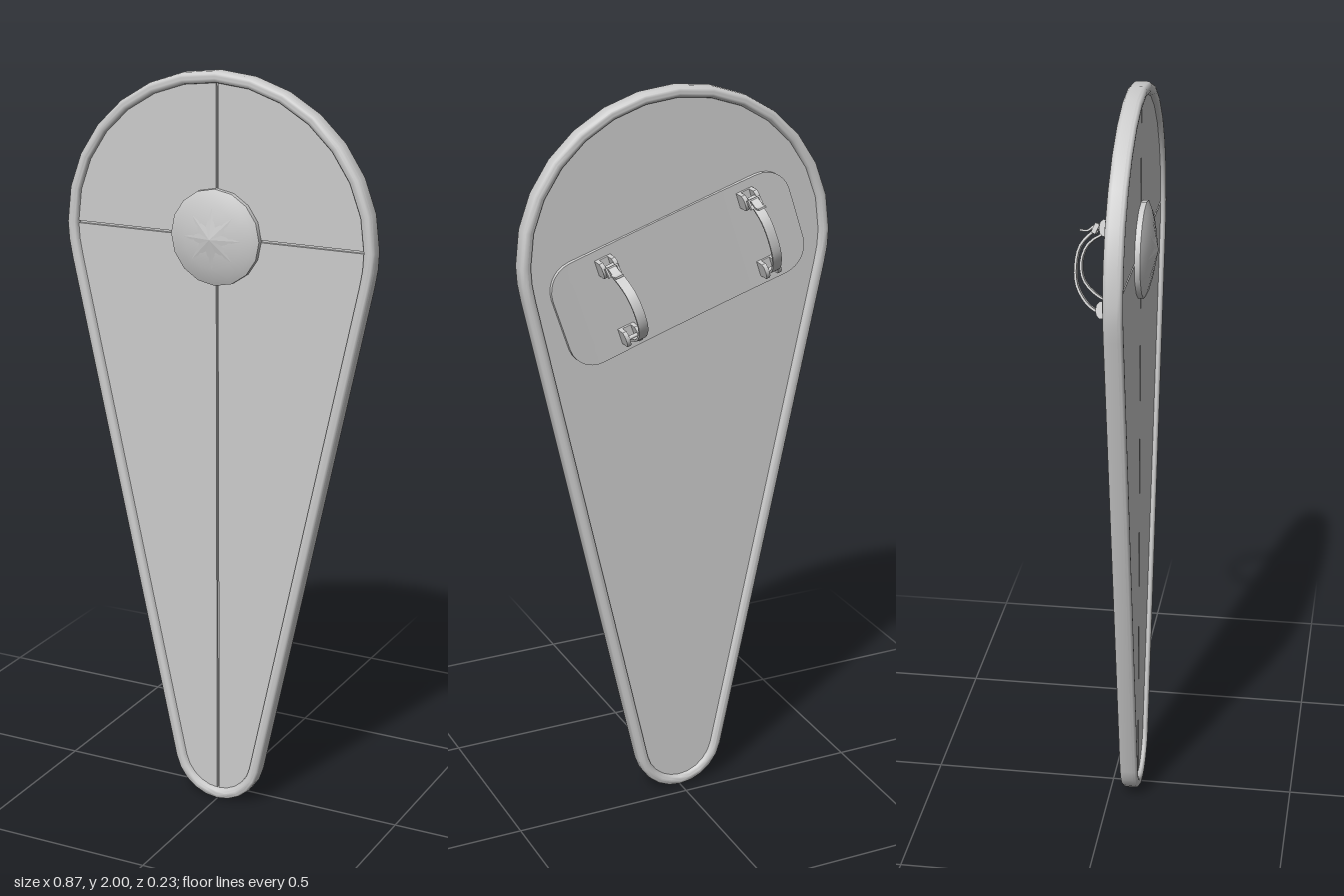
import * as THREE from 'three';
import { toCreasedNormals } from 'three/addons/utils/BufferGeometryUtils.js';

const grey = new THREE.MeshStandardMaterial({ color: 0xcccccc });
const faceted = new THREE.MeshStandardMaterial({ color: 0xcccccc, flatShading: true });
const SEAM = 1.58; // height of the horizontal seam and the boss

function add(parent, name, geometry, material = grey) {
  const mesh = new THREE.Mesh(geometry, material);
  mesh.name = name;
  parent.add(mesh);
  return mesh;
}

// Points on an ellipse between two angles in degrees
function arc(cy, rx, ry, from, to, n) {
  return Array.from({ length: n + 1 }, (_, i) => {
    const a = THREE.MathUtils.degToRad(from + ((to - from) * i) / n);
    return new THREE.Vector2(rx * Math.cos(a), cy + ry * Math.sin(a));
  });
}

// Right half of the shield outline, above and below the seam, moved inwards by d
const upperHalf = (d) => arc(SEAM, 0.437 - d, 0.42 - d, 0, 90, 7);
const lowerHalf = (d) => [
  ...arc(0.135, 0.13 - d, 0.135 - d, -90, -13, 5),
  ...arc(SEAM, 0.437 - d, 0.42 - d, -13, 0, 2),
];

function outline(d) {
  const right = [...lowerHalf(d), ...upperHalf(d).slice(1)];
  const left = right.slice(1, -1).reverse().map((p) => new THREE.Vector2(-p.x, p.y));
  return [...right, ...left];
}

function extrude(points, z0, z1, hole, bevel = 0) {
  const shape = new THREE.Shape(points);
  if (hole) shape.holes.push(new THREE.Path(hole));
  const g = new THREE.ExtrudeGeometry(shape, {
    depth: z1 - z0 - 2 * bevel, bevelEnabled: bevel > 0,
    bevelSize: bevel, bevelThickness: bevel, bevelOffset: -bevel, bevelSegments: 3,
  });
  return g.translate(0, 0, z0 + bevel);
}

// Side profile of [distance behind, height] pairs, given a width along x
function sideSlab(points, width) {
  const g = extrude(points.map((p) => new THREE.Vector2(p[0], p[1])), -width / 2, width / 2);
  return toCreasedNormals(g.rotateY(Math.PI / 2), 0.7);
}

// Thin leather band following a side profile
function band(points, width, thick = 0.006) {
  const curve = new THREE.CatmullRomCurve3(points.map((p) => new THREE.Vector3(p[0], p[1], 0)));
  const outer = [], inner = [];
  for (let i = 0; i <= 24; i++) {
    const p = curve.getPoint(i / 24), t = curve.getTangent(i / 24);
    outer.push([p.x + (t.y * thick) / 2, p.y - (t.x * thick) / 2]);
    inner.unshift([p.x - (t.y * thick) / 2, p.y + (t.x * thick) / 2]);
  }
  return sideSlab([...outer, ...inner], width);
}

function addBoard(model) {
  add(model, 'rim', toCreasedNormals(extrude(outline(0), 0.034, 0.083, outline(0.03), 0.012), 0.6));
  add(model, 'backBoard', extrude(outline(0.018), 0.046, 0.062));
  // Four front panels with narrow seams between them
  const gap = 0.003;
  for (const side of [1, -1]) {
    const parts = {
      upperPanel: [new THREE.Vector2(0, SEAM), ...upperHalf(0.018)]
        .map((p) => new THREE.Vector2(Math.max(p.x, gap) * side, Math.max(p.y, SEAM + gap))),
      lowerPanel: [...lowerHalf(0.018), new THREE.Vector2(0, SEAM)]
        .map((p) => new THREE.Vector2(Math.max(p.x, gap) * side, Math.min(p.y, SEAM - gap))),
    };
    for (const [name, points] of Object.entries(parts)) add(model, name, extrude(points, 0.06, 0.07));
  }
}

function addBoss(model) {
  const boss = new THREE.Group();
  boss.name = 'boss';
  boss.position.y = SEAM;
  model.add(boss);
  const domeZ = (r) => 0.109 - 1.5 * r * r;
  const profile = [[0.125, 0.066], [0.125, 0.084], [0.107, domeZ(0.107)], [0.08, domeZ(0.08)],
    [0.05, domeZ(0.05)], [0.025, domeZ(0.025)], [0, domeZ(0)]];
  const dome = new THREE.LatheGeometry(profile.map((p) => new THREE.Vector2(...p)), 16);
  add(boss, 'dome', toCreasedNormals(dome.rotateX(Math.PI / 2), 0.5));

  // Eight pointed star: a cone with every other base corner pulled in
  const star = new THREE.ConeGeometry(0.08, 0.02, 16, 1, true);
  const pos = star.attributes.position;
  for (let i = 0; i < pos.count; i++) {
    if (i < 17) { pos.setXYZ(i, 0, 0.115, 0); continue; }
    const r = (i - 17) % 2 ? 0.034 : 0.08;
    pos.setXYZ(i, (pos.getX(i) * r) / 0.08, domeZ(r) + 0.0005, (pos.getZ(i) * r) / 0.08);
  }
  add(boss, 'star', star.rotateX(Math.PI / 2), faceted);
}

// Padded rest: a box with rounded corners, hollowed slightly along its length
function padGeometry() {
  const hx = 0.35, hy = 0.145, r = 0.075;
  const g = new THREE.BoxGeometry(2 * hx, 2 * hy, 0.012, 36, 16, 1);
  const pos = g.attributes.position;
  for (let i = 0; i < pos.count; i++) {
    let x = pos.getX(i), y = pos.getY(i);
    const u = (Math.abs(x) - hx + r) / r, v = (Math.abs(y) - hy + r) / r;
    if (u > 0 && v > 0) {
      const s = Math.max(u, v) / Math.hypot(u, v);
      x = Math.sign(x) * (hx - r + r * u * s);
      y = Math.sign(y) * (hy - r + r * v * s);
    }
    pos.setXYZ(i, x, y, pos.getZ(i) + 0.044 - 0.007 * (x / hx) ** 2);
  }
  return toCreasedNormals(g, 0.7);
}

// Bracket with two rounded lugs and a cross pin
function addBracket(parent, y) {
  const bracket = new THREE.Group();
  bracket.name = 'strapBracket';
  bracket.position.y = y;
  parent.add(bracket);
  add(bracket, 'bracketBase', new THREE.BoxGeometry(0.046, 0.042, 0.008)).position.z = 0.032;
  const lug = [[-0.034, -0.021], [-0.004, -0.021], [0.004, -0.013], [0.006, 0],
    [0.004, 0.013], [-0.004, 0.021], [-0.034, 0.021]];
  for (const side of [1, -1]) add(bracket, 'bracketLug', sideSlab(lug, 0.011)).position.x = side * 0.0175;
  const pin = new THREE.CylinderGeometry(0.006, 0.006, 0.04, 10).rotateZ(Math.PI / 2);
  add(bracket, 'bracketPin', pin).position.z = 0.003;
}

function addStrap(parent, name, x, reach) {
  const strap = new THREE.Group();
  strap.name = name;
  strap.position.x = x;
  parent.add(strap);
  for (const y of [-0.1, 0.1]) addBracket(strap, y);
  const loop = [[-0.004, -0.108], [0.012, -0.1], [0.5 * reach, -0.085], [0.9 * reach, -0.045],
    [reach, 0.005], [0.85 * reach, 0.055], [0.4 * reach, 0.088], [0.012, 0.098], [-0.004, 0.108]];
  add(strap, 'strapBand', band(loop, 0.026));
  // Loose end and the keeper that holds it
  add(strap, 'strapEnd', band([[0, 0.11], [0.02, 0.104], [0.036, 0.092], [0.055, 0.093]], 0.022, 0.005));
  const frame = (w, h) => [[-w, -h], [w, -h], [w, h], [-w, h]].map((p) => new THREE.Vector2(...p));
  const keeper = add(strap, 'strapKeeper', extrude(frame(0.018, 0.013), -0.006, 0.006, frame(0.013, 0.009)));
  keeper.position.set(0, 0.098, -0.016);
  keeper.rotation.x = 0.4;
}

export function createModel() {
  const model = new THREE.Group();
  model.name = 'shield';
  addBoard(model);
  addBoss(model);

  // Slanted arm rest and its two straps on the back
  const grip = new THREE.Group();
  grip.name = 'armRest';
  grip.position.y = 1.528;
  grip.rotation.z = THREE.MathUtils.degToRad(-18);
  model.add(grip);
  add(grip, 'pad', padGeometry());
  addStrap(grip, 'handStrap', -0.229, 0.062);
  addStrap(grip, 'forearmStrap', 0.189, 0.112);
  return model;
}
